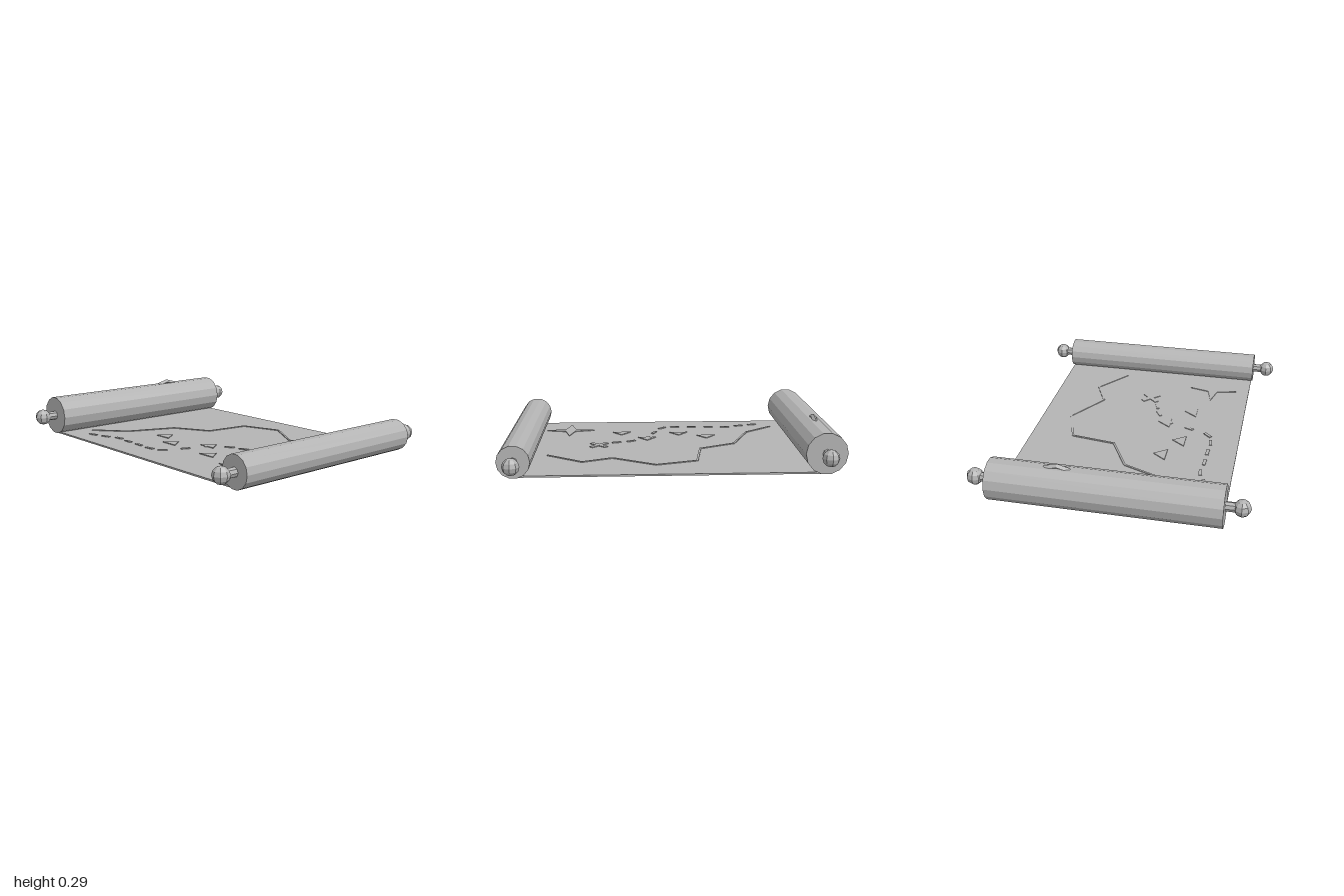
import * as THREE from 'three';

const grey = new THREE.MeshStandardMaterial({ color: 0xb4b4b4, flatShading: true });
grey.name = 'plain grey';

const SHEET_TOP = 0.039;

function add(parent, name, geometry, x = 0, y = 0, z = 0) {
  const mesh = new THREE.Mesh(geometry, grey);
  mesh.name = name;
  mesh.position.set(x, y, z);
  parent.add(mesh);
  return mesh;
}

// Thin raised plate lying on the sheet, outlined by [x, z] points
function addPlate(parent, name, points, x, z, angle = 0) {
  const shape = new THREE.Shape(points.map(([px, pz]) => new THREE.Vector2(px, -pz)));
  const geometry = new THREE.ExtrudeGeometry(shape, { depth: 0.005, bevelEnabled: false });
  geometry.rotateX(-Math.PI / 2);
  const mesh = add(parent, name, geometry, x, SHEET_TOP, z);
  mesh.rotation.y = angle;
  return mesh;
}

// Flat bar centred on its own middle
function addBar(parent, name, length, width, x, z, angle) {
  const mesh = add(parent, name, new THREE.BoxGeometry(length, 0.006, width), x, SHEET_TOP + 0.002, z);
  mesh.rotation.y = angle;
  return mesh;
}

// Rolled end with its rod and round knobs
function addRoll(parent, name, radius, x, y) {
  const roll = new THREE.Group();
  roll.name = name;
  roll.position.set(x, y, 0);
  const paper = new THREE.CylinderGeometry(radius, radius, 1.334, 14);
  paper.rotateY(Math.PI / 14).rotateX(Math.PI / 2);
  add(roll, 'rolledPaper', paper);
  const rod = new THREE.CylinderGeometry(0.028, 0.028, 1.5, 8);
  rod.rotateX(Math.PI / 2);
  add(roll, 'rod', rod);
  for (const side of [-1, 1]) {
    add(roll, 'knob', new THREE.SphereGeometry(0.05, 8, 6), 0, 0, side * 0.758);
  }
  parent.add(roll);
  return roll;
}

export function createModel() {
  const model = new THREE.Group();
  model.name = 'scrollMap';

  // Unrolled sheet
  add(model, 'sheet', new THREE.BoxGeometry(1.78, 0.01, 1.318), 0.01, SHEET_TOP - 0.005, 0);

  // Rolls and the ring through the larger one
  const largeRoll = addRoll(model, 'largeRoll', 0.122, -0.878, 0.148);
  addRoll(model, 'smallRoll', 0.096, 0.9, 0.121);
  const ring = new THREE.TorusGeometry(0.13, 0.016, 4, 12);
  ring.rotateY(Math.PI / 2);
  add(largeRoll, 'ring', ring, 0, 0, -0.27);

  // Coastline: short bars joined end to end
  const coast = [
    [-0.74, 0.47], [-0.55, 0.31], [-0.43, 0.01], [-0.2, -0.11], [-0.16, -0.39],
    [0.09, -0.47], [0.35, -0.31], [0.53, -0.39], [0.75, -0.23],
  ];
  for (let i = 0; i < coast.length - 1; i++) {
    const [x0, z0] = coast[i], [x1, z1] = coast[i + 1];
    const dx = x1 - x0, dz = z1 - z0;
    addBar(model, 'coastline', Math.hypot(dx, dz), 0.012,
      (x0 + x1) / 2, (z0 + z1) / 2, Math.atan2(-dz, dx));
  }

  // Dashed trail, each dash turned along the path
  const trail = [
    [-0.62, 0.535], [-0.52, 0.505], [-0.42, 0.47], [-0.305, 0.478], [-0.186, 0.481],
    [-0.07, 0.485], [0.02, 0.455], [0.08, 0.325], [0.135, 0.18], [0.235, 0.1], [0.33, 0.07],
  ];
  trail.forEach(([x, z], i) => {
    const a = trail[Math.max(i - 1, 0)], b = trail[Math.min(i + 1, trail.length - 1)];
    addBar(model, 'trailDash', 0.06, 0.02, x, z, Math.atan2(a[1] - b[1], b[0] - a[0]));
  });

  // Cross marking the spot
  for (const side of [-1, 1]) {
    addBar(model, 'crossBar', 0.14, 0.03, 0.443, 0.003, side * Math.PI / 4);
  }

  // Mountains
  for (const [x, z] of [[-0.265, 0.21], [-0.085, 0.3], [0.13, 0.17], [0.3, 0.32]]) {
    addPlate(model, 'mountain', [[-0.06, 0.025], [0.06, 0.025], [0, -0.055]], x, z);
  }

  // Four-pointed compass star
  const star = [];
  for (let i = 0; i < 8; i++) {
    const r = i % 2 ? 0.045 : 0.16, a = i * Math.PI / 4;
    star.push([r * Math.cos(a), r * Math.sin(a)]);
  }
  addPlate(model, 'compassStar', star, 0.65, 0.41);

  return model;
}
